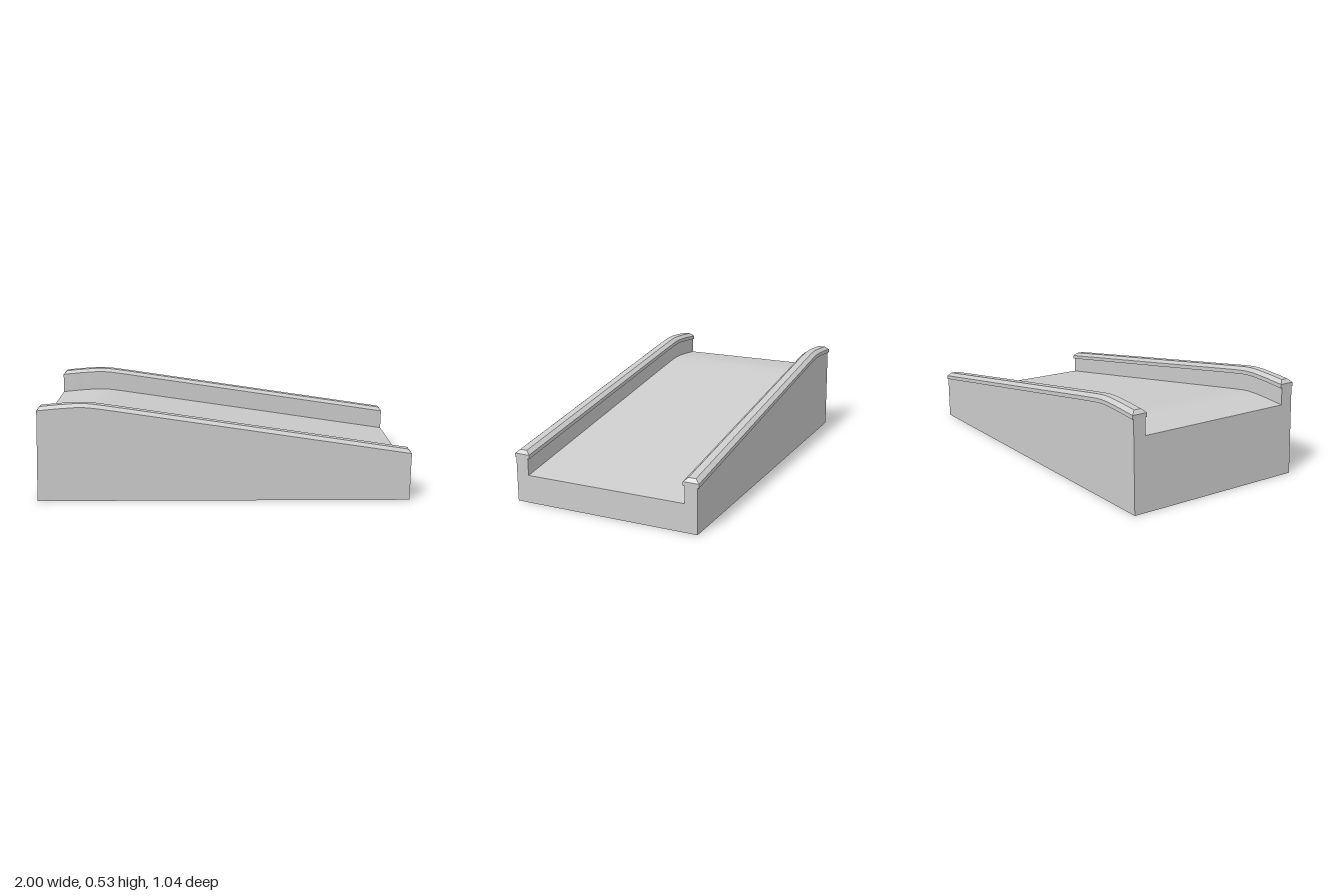
import * as THREE from 'three';
import { toCreasedNormals } from 'three/addons/utils/BufferGeometryUtils.js';

// Wall-top line along the ramp: [x, y]
const LINE = [[-0.983, 0.478], [-0.965, 0.48], [-0.87, 0.489], [-0.78, 0.495], [-0.73, 0.495],
  [-0.685, 0.491], [-0.605, 0.48], [0.984, 0.242], [1, 0.24]];
const DECK_DROP = 0.09;

// Skin over a row of cross-sections (counter-clockwise in z, y), with end caps
function loft(rings) {
  const pos = [], n = rings[0].length;
  const tri = (a, b, c) => {
    if (new THREE.Triangle(a, b, c).getArea() > 1e-8) {
      for (const p of [a, b, c]) pos.push(p.x, p.y, p.z);
    }
  };
  for (let s = 0; s < rings.length - 1; s++) {
    for (let i = 0; i < n; i++) {
      const j = (i + 1) % n, r = rings[s], q = rings[s + 1];
      tri(r[i], q[i], q[j]);
      tri(r[i], q[j], r[j]);
    }
  }
  const cap = (ring, flip) => {
    const flat = ring.map((p) => new THREE.Vector2(p.z, p.y));
    for (const [a, b, c] of THREE.ShapeUtils.triangulateShape(flat, [])) {
      if (flip) tri(ring[a], ring[c], ring[b]);
      else tri(ring[a], ring[b], ring[c]);
    }
  };
  cap(rings[0], false);
  cap(rings[rings.length - 1], true);
  const geo = new THREE.BufferGeometry();
  geo.setAttribute('position', new THREE.Float32BufferAttribute(pos, 3));
  return toCreasedNormals(geo, 0.35);
}

export function createModel() {
  const group = new THREE.Group();
  const material = new THREE.MeshStandardMaterial({ color: 0xcccccc });
  const add = (name, geo) => {
    const mesh = new THREE.Mesh(geo, material);
    mesh.name = name;
    group.add(mesh);
  };

  // Solid ramp with a sunken deck between two side walls; the high end leans in slightly
  add('rampBody', loft(LINE.map(([x, y], s) => {
    const d = y - DECK_DROP;
    const section = [[-0.515, 0], [0.515, 0], [0.515, y], [0.445, y],
      [0.445, d], [-0.445, d], [-0.445, y], [-0.515, y]];
    return section.map(([z, h]) => new THREE.Vector3(s === 0 ? -1 + 0.036 * h : x, h, z));
  })));

  // Bevelled coping on each wall, hipped at both ends
  const half = 0.0425, shoulder = 0.021;
  for (const [name, side] of [['frontCoping', 1], ['backCoping', -1]]) {
    add(name, loft(LINE.map(([x, y], s) => {
      const end = s === 0 || s === LINE.length - 1;
      const topHalf = end ? half : 0.02, top = end ? shoulder : 0.038;
      const section = [[-half, 0], [half, 0], [half, shoulder],
        [topHalf, top], [-topHalf, top], [-half, shoulder]];
      return section.map(([z, h]) => new THREE.Vector3(x, y + h, z + side * 0.479));
    })));
  }
  return group;
}
